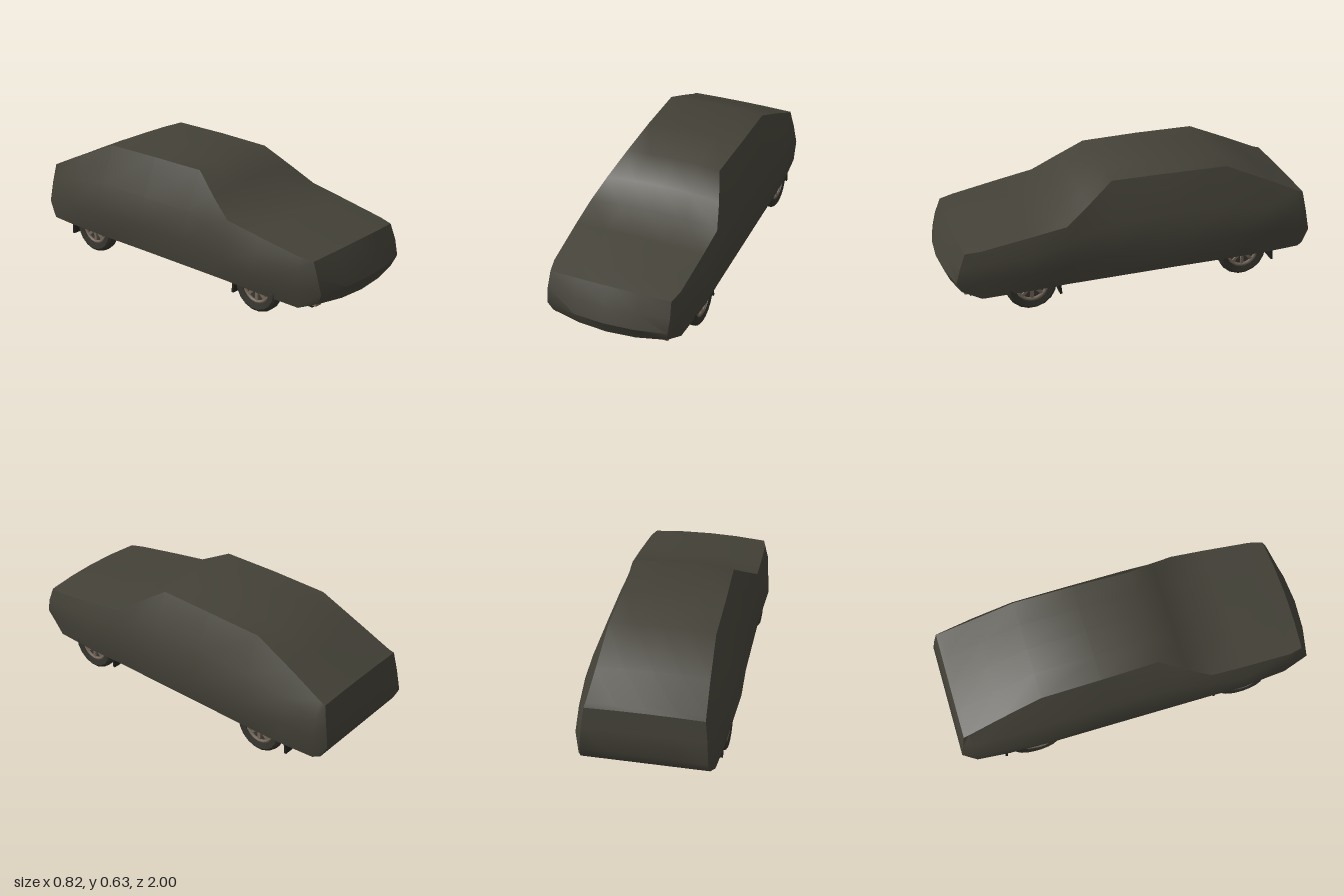
import * as THREE from 'three';
import { toCreasedNormals } from 'three/addons/utils/BufferGeometryUtils.js';

const mat = (name, color, side = THREE.FrontSide) => {
  const m = new THREE.MeshStandardMaterial({ color, side });
  m.name = name;
  return m;
};

export function createModel() {
  const cloth = mat('cover cloth', 0x434137, THREE.DoubleSide);
  const rubber = mat('tyre rubber', 0x34332c);
  const black = mat('underbody black', 0x22221f);
  const grey = mat('chassis grey', 0x3a3932);
  const metal = mat('wheel metal', 0x75675a);
  const paint = mat('sill paint', 0x84735f);

  const car = new THREE.Group();
  car.name = 'coveredCar';
  const body = new THREE.Group();
  body.name = 'car';
  body.position.x = -0.008;
  car.add(body);

  const add = (name, geo, material, x = 0, y = 0, z = 0, parent = body) => {
    const m = new THREE.Mesh(geo, material);
    m.name = name;
    m.position.set(x, y, z);
    parent.add(m);
    return m;
  };
  const box = (name, material, w, h, d, x, y, z) =>
    add(name, new THREE.BoxGeometry(w, h, d), material, x, y, z);
  const rod = (name, material, r, from, to) => {
    const a = new THREE.Vector3(...from), b = new THREE.Vector3(...to);
    const m = add(name, new THREE.CylinderGeometry(r, r, a.distanceTo(b), 10), material);
    m.position.copy(a).lerp(b, 0.5);
    m.quaternion.setFromUnitVectors(new THREE.Vector3(0, 1, 0), b.sub(a).normalize());
    return m;
  };

  // Surface through rows of points, with edges kept where it folds sharply
  const sheet = (name, rows, crease) => {
    const n = rows[0].length, index = [];
    for (let i = 0; i < rows.length - 1; i++)
      for (let j = 0; j < n - 1; j++) {
        const a = i * n + j, c = a + n;
        index.push(a, a + 1, c, a + 1, c + 1, c);
      }
    const geo = new THREE.BufferGeometry();
    geo.setAttribute('position', new THREE.Float32BufferAttribute(rows.flat(2), 3));
    geo.setIndex(index);
    return add(name, toCreasedNormals(geo, crease), cloth);
  };

  // Half sections, front to back: [x, y, z] at hem, widest line, shoulder, top edge; then centre height
  const line = (z, ...v) => ({
    side: [0, 2, 4, 6].map((k) => [v[k], v[k + 1], z]), top: v[8],
  });
  const front = {
    side: [[0.31, 0.14, 0.93], [0.325, 0.2, 0.955], [0.33, 0.28, 0.935], [0.325, 0.362, 0.905]], top: 0.371,
  };
  const back = {
    side: [[0.325, 0.12, -0.965], [0.32, 0.19, -1], [0.312, 0.31, -0.98], [0.3, 0.415, -0.96]], top: 0.42,
  };
  const sections = [
    front,
    line(0.83, 0.345, 0.1, 0.36, 0.21, 0.36, 0.3, 0.342, 0.372, 0.388),
    line(0.57, 0.37, 0.115, 0.398, 0.22, 0.385, 0.32, 0.352, 0.415, 0.43),
    line(0.38, 0.37, 0.12, 0.393, 0.24, 0.38, 0.36, 0.356, 0.446, 0.462),
    line(0.25, 0.37, 0.12, 0.39, 0.25, 0.367, 0.4, 0.315, 0.53, 0.55),
    line(0.11, 0.37, 0.12, 0.39, 0.26, 0.36, 0.425, 0.262, 0.624, 0.635),
    line(-0.2, 0.37, 0.12, 0.392, 0.265, 0.36, 0.425, 0.27, 0.625, 0.635),
    line(-0.52, 0.37, 0.118, 0.408, 0.27, 0.36, 0.42, 0.273, 0.62, 0.63),
    line(-0.75, 0.362, 0.115, 0.383, 0.26, 0.348, 0.38, 0.285, 0.513, 0.524),
    line(-0.93, 0.345, 0.112, 0.355, 0.24, 0.335, 0.34, 0.297, 0.425, 0.434),
    back,
  ];
  const flip = ([x, y, z]) => [-x, y, z];
  const rows = sections.map(({ side, top }) => {
    const [ex, ey, ez] = side[3];
    const bow = ez > 0.9 ? 0.015 : 0;
    const across = [-0.5, 0, 0.5].map((t) => [ex * 2 * t * 0.5, ey + (top - ey) * (1 - t * t), ez + bow * (1 - t * t)]);
    return [...side.map(flip), ...across, ...[...side].reverse()];
  });
  // Bulge the widest line out on the model's right front wing
  rows[2][1][0] = -0.402;
  rows[2][12 - 3][0] = 0.388;
  sheet('coverBody', rows, 0.6);

  // End panels: straight or bowed rows between the two corner lines
  const endPanel = (name, section, bows, drops, dir) => sheet(name, section.side.map(([x, y, z], k) =>
    [-1, -0.5, 0, 0.5, 1].map((t) => [x * t * dir, y + drops[k] * (1 - t * t), z + bows[k] * (1 - t * t)])), 0.7);
  endPanel('coverNose', front, [0.035, 0.045, 0.035, 0.015], [-0.018, 0, 0, 0.009], 1);
  endPanel('coverTail', back, [0, 0, 0, 0], [0, 0, 0, 0.005], -1);

  // Wheels
  const v2 = (r, y) => new THREE.Vector2(r, y);
  const tyreProfile = [v2(0.088, -0.03), v2(0.118, -0.036), v2(0.13, -0.028), v2(0.135, -0.015),
    v2(0.135, 0.015), v2(0.13, 0.028), v2(0.118, 0.036), v2(0.088, 0.03), v2(0.088, -0.03)];
  const tyreGeo = toCreasedNormals(new THREE.LatheGeometry(tyreProfile, 18), 0.6);
  const makeWheel = (x, z) => {
    const wheel = new THREE.Group();
    wheel.name = 'wheel';
    wheel.position.set(x, 0.135, z);
    wheel.rotation.z = x > 0 ? -Math.PI / 2 : Math.PI / 2;
    add('tyre', tyreGeo, rubber, 0, 0, 0, wheel);
    add('rimDish', new THREE.CylinderGeometry(0.088, 0.088, 0.04, 18), grey, 0, -0.005, 0, wheel);
    const ring = add('rimRing', new THREE.TorusGeometry(0.08, 0.009, 6, 18), metal, 0, 0.02, 0, wheel);
    ring.rotation.x = Math.PI / 2;
    add('hub', new THREE.CylinderGeometry(0.024, 0.028, 0.02, 12), metal, 0, 0.022, 0, wheel);
    for (let i = 0; i < 8; i++) {
      const a = (i / 8) * Math.PI * 2;
      const spoke = add('spoke', new THREE.BoxGeometry(0.06, 0.01, 0.016), metal,
        Math.cos(a) * 0.05, 0.02, -Math.sin(a) * 0.05, wheel);
      spoke.rotation.y = a;
    }
    body.add(wheel);
  };

  // Floor, engine bay and boot pans
  box('floorPan', black, 0.7, 0.02, 0.8, 0, 0.145, -0.01);
  box('engineBay', black, 0.56, 0.02, 0.52, 0, 0.19, 0.64);
  box('rearFloor', black, 0.56, 0.02, 0.55, 0, 0.185, -0.67);
  box('spareWheelWell', black, 0.24, 0.05, 0.2, 0, 0.155, -0.82);
  box('driveTunnel', black, 0.1, 0.012, 0.8, 0, 0.134, -0.02);
  box('gearbox', grey, 0.1, 0.05, 0.2, 0, 0.135, 0.36);
  box('oilPan', grey, 0.15, 0.07, 0.22, 0, 0.145, 0.6);
  box('frontValance', black, 0.6, 0.045, 0.05, 0, 0.125, 0.86);
  box('frontCrossmember', grey, 0.42, 0.03, 0.05, 0, 0.1, 0.54);
  box('rearCrossmember', grey, 0.56, 0.03, 0.04, 0, 0.15, -0.43);
  box('rearValance', black, 0.58, 0.04, 0.03, 0, 0.145, -0.94);

  // Exhaust line and drive shaft
  rod('driveShaft', grey, 0.014, [0, 0.125, 0.28], [0, 0.135, -0.58]);
  rod('exhaustPipe', grey, 0.01, [0.07, 0.12, 0.5], [0.07, 0.12, -0.4]);
  rod('frontSilencer', grey, 0.024, [0.07, 0.122, 0.2], [0.07, 0.122, 0.03]);
  rod('rearSilencer', grey, 0.032, [-0.16, 0.14, -0.82], [0.16, 0.14, -0.82]);
  rod('tailPipe', grey, 0.01, [0.07, 0.12, -0.4], [0.14, 0.14, -0.82]);
  rod('rearAxle', grey, 0.02, [-0.3, 0.135, -0.6], [0.3, 0.135, -0.6]);
  const differential = add('differential', new THREE.SphereGeometry(0.046, 12, 8), grey, 0, 0.135, -0.6);
  differential.scale.z = 0.85;

  for (const s of [-1, 1]) {
    makeWheel(s * 0.328, 0.57);
    makeWheel(s * 0.328, -0.6);
    box('sill', paint, 0.014, 0.03, 0.8, s * 0.35, 0.135, -0.01);
    box('chassisRail', grey, 0.035, 0.018, 0.76, s * 0.2, 0.13, 0);
    box('rearRail', grey, 0.03, 0.03, 0.5, s * 0.22, 0.165, -0.68);
    box('leafSpring', grey, 0.025, 0.014, 0.5, s * 0.25, 0.115, -0.62);
    rod('frontArm', grey, 0.013, [s * 0.1, 0.115, 0.54], [s * 0.3, 0.11, 0.57]);
    rod('reactionRod', grey, 0.009, [s * 0.27, 0.11, 0.57], [s * 0.2, 0.13, 0.82]);
    box('bumperEnd', paint, 0.04, 0.03, 0.03, s * 0.29, 0.135, 0.9);
    // Mud flaps hanging behind each wheel
    for (const z of [0.42, -0.77]) {
      const flap = box('mudFlap', black, 0.12, 0.075, 0.012, s * 0.298, 0.098, z);
      flap.rotation.x = 0.1;
    }
  }
  return car;
}
